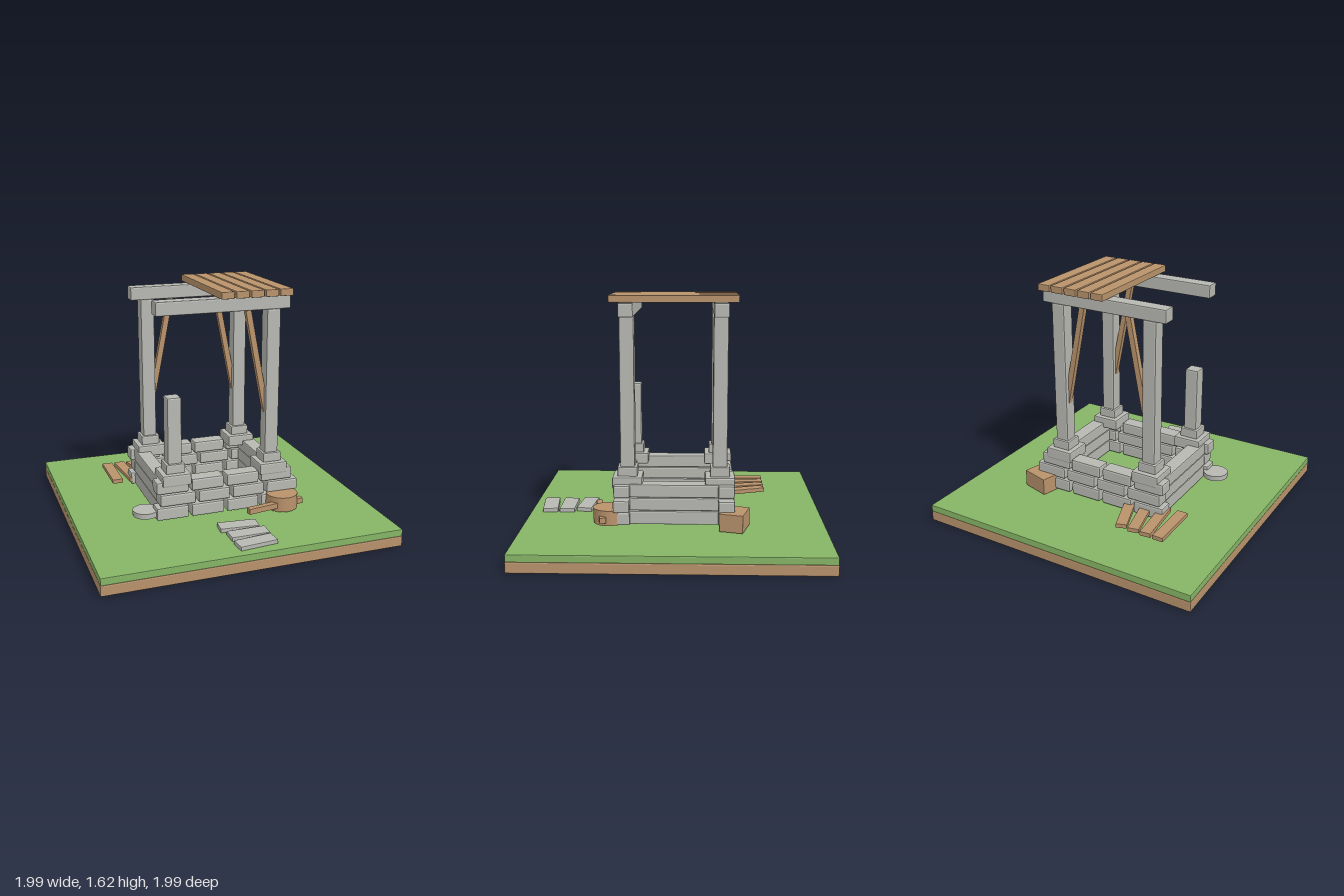
import * as THREE from 'three';
import { RoundedBoxGeometry } from 'three/addons/geometries/RoundedBoxGeometry.js';

export function createModel() {
  const group = new THREE.Group();
  group.name = 'ruinedWell';
  const material = (name, color) => Object.assign(new THREE.MeshStandardMaterial({ color }), { name });
  const stone = material('stone', 0xb7b8b2);
  const wood = material('wood', 0xb8926b);
  const grass = material('grass', 0x86b566);

  const add = (name, geometry, mat, x, y, z) => {
    const mesh = new THREE.Mesh(geometry, mat);
    mesh.name = name;
    mesh.position.set(x, y, z);
    group.add(mesh);
    return mesh;
  };

  // Chamfered block with flat faces, given by its extents on each axis
  const block = (name, mat, [x0, x1], [y0, y1], [z0, z1], bevel = 0.008) => {
    const geometry = new RoundedBoxGeometry(x1 - x0, y1 - y0, z1 - z0, 1, bevel);
    geometry.computeVertexNormals();
    return add(name, geometry, mat, (x0 + x1) / 2, (y0 + y1) / 2, (z0 + z1) / 2);
  };

  // Block given by its centre in plan and turned about the vertical
  const loose = (name, mat, x, z, w, d, ys, turn, bevel = 0.003) => {
    block(name, mat, [x - w / 2, x + w / 2], ys, [z - d / 2, z + d / 2], bevel).rotation.y = turn;
  };

  // Ground slab
  block('soil', wood, [-0.995, 0.995], [0.005, 0.078], [-0.995, 0.995], 0.008);
  block('grass', grass, [-0.993, 0.993], [0.075, 0.123], [-0.993, 0.993], 0.005);

  // Front and back brick walls, three staggered courses
  const courses = [
    { y: [0.138, 0.226], x: [[-0.48, -0.26], [-0.24, -0.01], [0.01, 0.235], [0.255, 0.48]] },
    { y: [0.232, 0.315], x: [[-0.455, -0.21], [-0.19, 0.03], [0.05, 0.275], [0.295, 0.52]] },
    { y: [0.32, 0.404], x: [[-0.48, -0.26], [-0.24, -0.015], [0.005, 0.235], [0.25, 0.475]] },
  ];
  for (const { y, x } of courses) {
    for (const xs of x) {
      block('wallBrick', stone, xs, y, [0.285, 0.392], 0.012);
      block('wallBrick', stone, xs, y, [-0.395, -0.288], 0.012);
    }
    // Long side stones
    for (const s of [-1, 1]) {
      block('sideStone', stone, [s * 0.4 - 0.05, s * 0.4 + 0.05], [y[0], y[1] + 0.002], [-0.295, 0.295]);
    }
  }

  // Corner posts on stepped bases; the front right post is broken off
  for (const x of [-0.342, 0.338]) {
    for (const z of [-0.3, 0.304]) {
      const broken = x < 0 && z > 0;
      block('postBaseLower', stone, [x - 0.098, x + 0.098], [0.37, 0.45], [z - 0.098, z + 0.098], 0.01);
      block('postBaseUpper', stone, [x - 0.065, x + 0.065], [0.445, 0.512], [z - 0.065, z + 0.065]);
      block('post', stone, [x - 0.048, x + 0.048], [0.5, broken ? 0.957 : 1.49], [z - 0.048, z + 0.048], 0.01);
      if (broken) continue;
      // Slanted brace between post and beam
      const s = Math.sign(x);
      const top = new THREE.Vector2(s * 0.168, 1.5);
      const foot = new THREE.Vector2(s * 0.318, 0.74);
      const run = top.clone().sub(foot);
      const brace = add('brace', new THREE.BoxGeometry(0.038, run.length(), 0.038), wood,
        (top.x + foot.x) / 2, (top.y + foot.y) / 2, z);
      brace.rotation.z = Math.atan2(-run.x, run.y);
    }
  }

  // Roof beams
  for (const z of [-0.302, 0.304]) {
    block('beam', stone, [-0.458, 0.453], [1.487, 1.577], [z - 0.048, z + 0.048]);
  }

  // Remaining roof planks
  for (let i = 0; i < 5; i++) {
    const x = -0.002 + i * 0.1;
    block('roofPlank', wood, [x - 0.044, x + 0.044], [1.58, 1.626], [-0.412, 0.412], 0.005);
  }

  // Fallen planks fanned out behind
  for (const [x, turn] of [[-0.577, 0], [-0.47, 0.1], [-0.36, 0.22], [-0.25, 0.33]]) {
    loose('fallenPlank', wood, x, -0.465, 0.075, 0.35, [0.158, 0.188], turn);
  }

  // Paving stones in front
  for (const [x, z, turn] of [[0, 0.617, -0.1], [0.02, 0.745, 0], [0.02, 0.872, 0.1]]) {
    loose('pavingStone', stone, x, z, 0.26, 0.105, [0.12, 0.15], turn, 0.005);
  }

  // Wooden crate, round tub with a loose bar, and a flat round stone
  loose('crate', wood, 0.478, -0.395, 0.2, 0.155, [0.128, 0.246], -0.27);
  add('tub', new THREE.CylinderGeometry(0.107, 0.107, 0.1, 20), wood, 0.39, 0.19, 0.425);
  loose('tubBar', wood, 0.315, 0.49, 0.42, 0.042, [0.163, 0.202], 0.16);
  add('roundStone', new THREE.CylinderGeometry(0.086, 0.086, 0.036, 20), stone, -0.535, 0.182, 0.306);

  return group;
}
